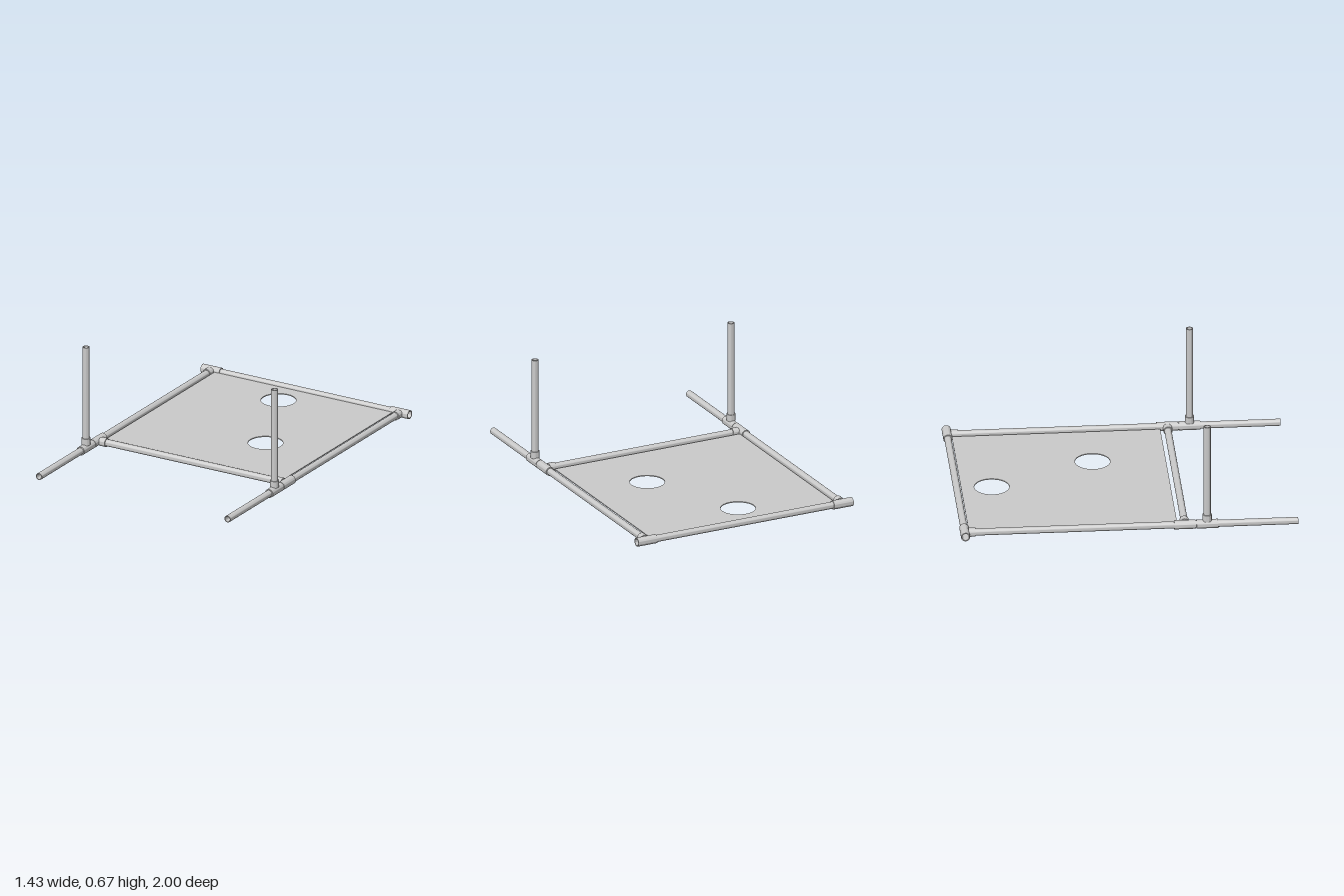
import * as THREE from 'three';
import { toCreasedNormals } from 'three/addons/utils/BufferGeometryUtils.js';

const PIPE = 0.021, BORE = 0.0165, SLEEVE = 0.027;
const Y = SLEEVE, SIDE = 0.65, BACK = -0.973, CROSS = 0.33, POST = 0.462;
const material = new THREE.MeshStandardMaterial({ color: 0xcccccc });

function circle(Type, x, y, r) {
  const path = new Type();
  path.absarc(x, y, r, 0, Math.PI * 2, Type === THREE.Path);
  return path;
}

// Hollow round tube between two points
function tube(name, from, to, outer, inner) {
  const a = new THREE.Vector3(...from), dir = new THREE.Vector3(...to).sub(a);
  const ring = circle(THREE.Shape, 0, 0, outer);
  ring.holes.push(circle(THREE.Path, 0, 0, inner));
  const geometry = new THREE.ExtrudeGeometry(ring, { depth: dir.length(), bevelEnabled: false, curveSegments: 32 });
  const mesh = new THREE.Mesh(toCreasedNormals(geometry, 0.6), material);
  mesh.name = name;
  mesh.position.copy(a);
  mesh.quaternion.setFromUnitVectors(new THREE.Vector3(0, 0, 1), dir.normalize());
  return mesh;
}

// Tee fitting: a straight sleeve with one branch at its middle
function tee(name, centre, along, branch) {
  const group = new THREE.Group();
  group.name = name;
  const c = new THREE.Vector3(...centre);
  const at = (dir, d) => c.clone().addScaledVector(new THREE.Vector3(...dir), d).toArray();
  group.add(
    tube('sleeve', at(along, -0.064), at(along, 0.064), SLEEVE, PIPE),
    tube('branch', at(branch, 0.0215), at(branch, 0.063), SLEEVE, PIPE)
  );
  return group;
}

export function createModel() {
  const model = new THREE.Group();
  model.name = 'pipeFrame';

  // Rails across the frame
  model.add(
    tube('backRail', [-0.62, Y, BACK], [0.62, Y, BACK], PIPE, BORE),
    tube('crossRail', [-0.628, Y, CROSS], [0.628, Y, CROSS], PIPE, BORE)
  );

  // Side rails, uprights and fittings, mirrored
  for (const [side, s] of [['left', 1], ['right', -1]]) {
    const x = s * SIDE;
    model.add(
      tube(side + 'SideRail', [x, Y, -0.95], [x, Y, 1], PIPE, BORE),
      tube(side + 'Upright', [x, Y + 0.022, POST], [x, 0.668, POST], PIPE, BORE),
      tee(side + 'BackTee', [x, Y, BACK], [1, 0, 0], [0, 0, 1]),
      tee(side + 'CrossTee', [x, Y, CROSS], [0, 0, 1], [-s, 0, 0]),
      tee(side + 'UprightTee', [x, Y, POST], [0, 0, 1], [0, 1, 0])
    );
  }

  // Board with two round holes (shape y runs toward the back)
  const x0 = -0.618, x1 = 0.61, front = -0.286, back = 0.948;
  const outline = new THREE.Shape([[x0, front], [x1, front], [x1, back], [x0, back]].map(p => new THREE.Vector2(...p)));
  for (const [x, z] of [[-0.066, -0.766], [0.219, -0.147]]) {
    outline.holes.push(circle(THREE.Path, x, -z, 0.104));
  }
  const thickness = 0.006;
  const boardGeometry = new THREE.ExtrudeGeometry(outline, { depth: thickness, bevelEnabled: false, curveSegments: 48 });
  const board = new THREE.Mesh(toCreasedNormals(boardGeometry, 0.6), material);
  board.name = 'board';
  board.rotation.x = -Math.PI / 2;
  board.position.y = Y - thickness / 2;
  model.add(board);

  return model;
}
